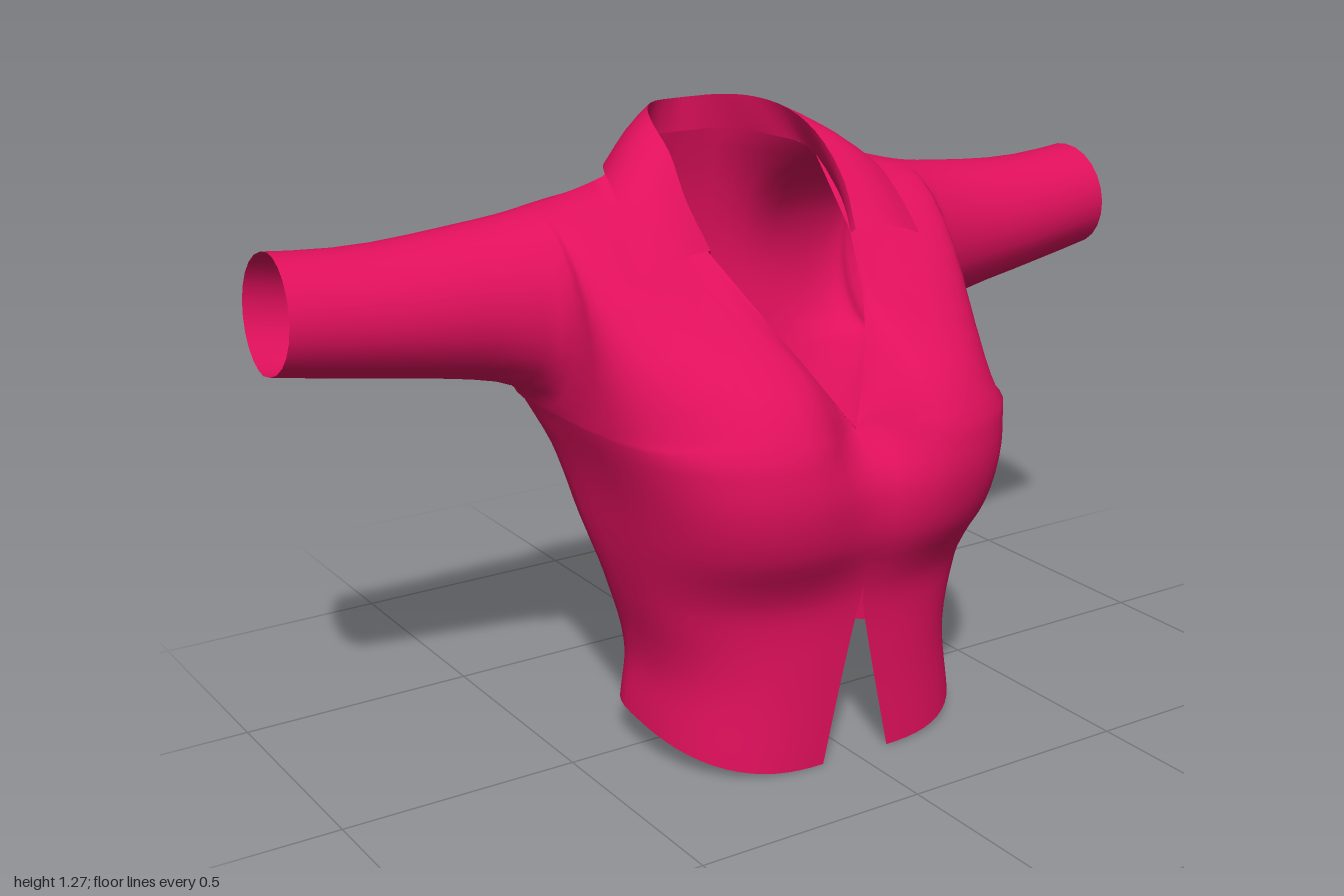
import * as THREE from 'three';
import { mergeGeometries, mergeVertices } from 'three/addons/utils/BufferGeometryUtils.js';

// Smooth interpolation in a table of rows [t, a, b, ...]
function sample(table, t) {
  const n = table.length - 1;
  if (t <= table[0][0]) return table[0].slice(1);
  if (t >= table[n][0]) return table[n].slice(1);
  let i = 0;
  while (t > table[i + 1][0]) i++;
  const p = table[i], q = table[i + 1], o = table[Math.max(i - 1, 0)], r = table[Math.min(i + 2, n)];
  const h = q[0] - p[0], s = (t - p[0]) / h, s2 = s * s, s3 = s2 * s;
  return p.slice(1).map((_, j) => {
    const k = j + 1;
    const m0 = (q[k] - o[k]) / (q[0] - o[0]) * h, m1 = (r[k] - p[k]) / (r[0] - p[0]) * h;
    return (2 * s3 - 3 * s2 + 1) * p[k] + (s3 - 2 * s2 + s) * m0 + (3 * s2 - 2 * s3) * q[k] + (s3 - s2) * m1;
  });
}

// Grid of points fn(row, col) -> [x, y, z], plus its mirror image in x
function mirroredGrid(rows, cols, fn) {
  return [1, -1].map((side) => {
    const pos = [], index = [];
    for (let r = 0; r <= rows; r++) {
      for (let c = 0; c <= cols; c++) {
        const [x, y, z] = fn(r, c);
        pos.push(x * side, y, z);
        if (r === rows || c === cols) continue;
        const a = r * (cols + 1) + c, b = a + 1, d = a + cols + 1, e = d + 1;
        if (side > 0) index.push(a, b, d, b, e, d);
        else index.push(a, d, b, b, d, e);
      }
    }
    const g = new THREE.BufferGeometry();
    g.setAttribute('position', new THREE.Float32BufferAttribute(pos, 3));
    g.setIndex(index);
    return g;
  });
}

function weld(parts) {
  const g = mergeVertices(mergeGeometries(parts), 1e-4);
  g.computeVertexNormals();
  return g;
}

const N = 16;          // columns from centre to side seam
const CHEST = 0.7;     // height where the lower torso meets the yoke

// Torso levels: y, half width, side z, front z, back z, squareness, centre dent
const torso = [
  [0, 0.36, 0, 0.29, -0.18, 2.5, 0],
  [0.2, 0.345, 0, 0.295, -0.19, 2.5, 0],
  [0.35, 0.375, 0, 0.305, -0.24, 2.6, 0],
  [0.42, 0.39, -0.02, 0.335, -0.265, 2.8, 0.01],
  [0.48, 0.4, -0.04, 0.37, -0.29, 3.1, 0.02],
  [0.55, 0.41, -0.06, 0.39, -0.315, 3.4, 0.03],
  [0.62, 0.425, -0.1, 0.397, -0.34, 3.5, 0.05],
  [CHEST, 0.45, -0.2, 0.388, -0.362, 3.5, 0.11],
];
const dentAt = (x) => Math.exp(-((x / 0.09) ** 2));

// Point on the lower torso, col 0 = front centre, 2N = back centre
function torsoPoint(y, c) {
  const [w, zs, zf, zb, n, dent] = sample(torso, y);
  const q = c === N ? 1 : c === 2 * N ? 0 : Math.sin((c / N) * Math.PI / 2);
  const k = Math.pow(Math.max(0, 1 - Math.pow(q, n)), 1 / n);
  const front = c <= N;
  const gap = front ? Math.max(0, 0.08 * (1 - y / 0.36)) : 0;   // open slit
  const x = gap + (w - gap) * q;
  const z = zs + ((front ? zf : zb) - zs) * k - (front ? dent * dentAt(x) * k : 0);
  const hem = 0.083 * (1 - ((z + 0.15) / 0.44) ** 2);           // hem rises to the back
  return [x, y + Math.max(0, hem) * Math.max(0, 1 - y / 0.2), z];
}

// Yoke profiles by height: y, z
const chestFront = [[0.7, 0.388], [0.78, 0.34], [0.84, 0.275], [0.9, 0.155], [0.97, 0.07],
  [1.02, 0.02], [1.1, -0.05], [1.18, -0.14]];
const chestBack = [[0.7, -0.362], [0.85, -0.39], [0.95, -0.395], [1.05, -0.387], [1.12, -0.375], [1.19, -0.358]];
// Upper edge by x: y, z (neckline, then shoulder ridge)
const ridge = [[0.21, 1.165, -0.18], [0.3, 1.147, -0.195], [0.45, 1.108, -0.2], [0.6, 1.085, -0.222],
  [0.8, 1.07, -0.23], [1, 1.08, -0.24]];
const topFront = [[0, 0.7, 0.28], [0.1, 0.87, 0.17], [0.17, 1.02, 0.02], ...ridge];
const topBack = [[0, 1.19, -0.36], [0.1, 1.19, -0.345], [0.17, 1.18, -0.25], ...ridge];
// Sleeve by x: bottom y, centre z, depth radius
const sleeve = [[0.45, 0.7, -0.2, 0.18], [0.5, 0.75, -0.208, 0.16], [0.6, 0.78, -0.222, 0.148],
  [0.75, 0.805, -0.23, 0.138], [1, 0.845, -0.24, 0.12]];

// Point on the front or back panel running from the centre to the cuff
function panelPoint(x, v, bottomZ, front) {
  const dir = front ? 1 : -1;
  const [yTop, zTop] = sample(front ? topFront : topBack, x);
  const [yLow, zMid, depth] = sample(sleeve, x);
  const s = THREE.MathUtils.smoothstep(x, 0.2, 0.45);
  const yFlat = yLow + (yTop - yLow) * v;
  const yRound = (yLow + yTop) / 2 - (yTop - yLow) / 2 * Math.cos(Math.PI * v);
  const chestZ = (y) => sample(front ? chestFront : chestBack, y)[0] - (front ? 0.11 * dentAt(x) : 0);
  const zAt = (t, y) => (1 - s) * chestZ(y) + s * (zMid + dir * depth * Math.sin(Math.PI * t));
  const y = yFlat + (yRound - yFlat) * s;
  let z = zAt(v, y);
  z += (bottomZ - zAt(0, yLow)) * (1 - v) ** 2 + (zTop - zAt(1, yTop)) * v ** 4;
  const tilt = x === 1 ? 0.025 * v : 0;                         // slanted cuff
  return [x - tilt, y, z];
}

export function createModel() {
  const model = new THREE.Group();
  model.name = 'shirt';
  const fabric = new THREE.MeshStandardMaterial({ color: 0xe0105c, side: THREE.DoubleSide });
  fabric.name = 'crimson fabric';
  const add = (name, parts) => {
    const mesh = new THREE.Mesh(weld(parts), fabric);
    mesh.name = name;
    model.add(mesh);
  };

  // Bodice and sleeves, welded into one smooth cloth
  const sleeveX = [0.475, 0.5, 0.55, 0.6, 0.68, 0.76, 0.84, 0.92, 1];
  const last = N + sleeveX.length;
  const station = (i, front) => {
    if (i > N) {
      const x = sleeveX[i - N - 1];
      return [x, sample(sleeve, x)[1]];
    }
    const [x, , z] = torsoPoint(CHEST, front ? i : 2 * N - i);
    return [x, z];
  };
  const panel = (front) => mirroredGrid(12, last, (r, c) => {
    const [x, z] = station(front ? c : last - c, front);
    return panelPoint(x, r / 12, z, front);
  });
  const lower = mirroredGrid(24, 2 * N, (r, c) => torsoPoint(CHEST * r / 24, c));
  add('bodiceAndSleeves', [...lower, ...panel(true), ...panel(false)]);

  // Collar: three rails from back centre to lapel point
  const rail = (pts) => new THREE.CatmullRomCurve3(pts.map((p) => new THREE.Vector3(...p)));
  const neck = rail([[0, 1.19, -0.36], [0.1, 1.19, -0.345], [0.165, 1.18, -0.25], [0.2, 1.165, -0.18],
    [0.2, 1.1, -0.08], [0.185, 1.06, -0.02], [0.17, 1.02, 0.02]]);
  const fold = rail([[0, 1.262, -0.36], [0.08, 1.265, -0.335], [0.13, 1.263, -0.28], [0.165, 1.245, -0.2],
    [0.18, 1.2, -0.11], [0.19, 1.12, -0.035], [0.175, 1.03, 0.03]]);
  const edge = rail([[0, 1.13, -0.387], [0.12, 1.137, -0.382], [0.2, 1.15, -0.33], [0.28, 1.16, -0.2],
    [0.315, 1.135, -0.1], [0.332, 1.07, -0.03], [0.34, 1.0, 0.03]]);
  const strip = (low, high, bulge) => mirroredGrid(4, 20, (r, c) => {
    const p = low.getPoint(c / 20).lerp(high.getPoint(c / 20), r / 4);
    const b = bulge * Math.sin(Math.PI * r / 4);
    return [p.x, p.y + b, p.z + b * (c / 10 - 1)];
  });
  add('collarStand', strip(neck, fold, 0));
  add('collarFlap', strip(edge, fold, 0.012));

  return model;
}
